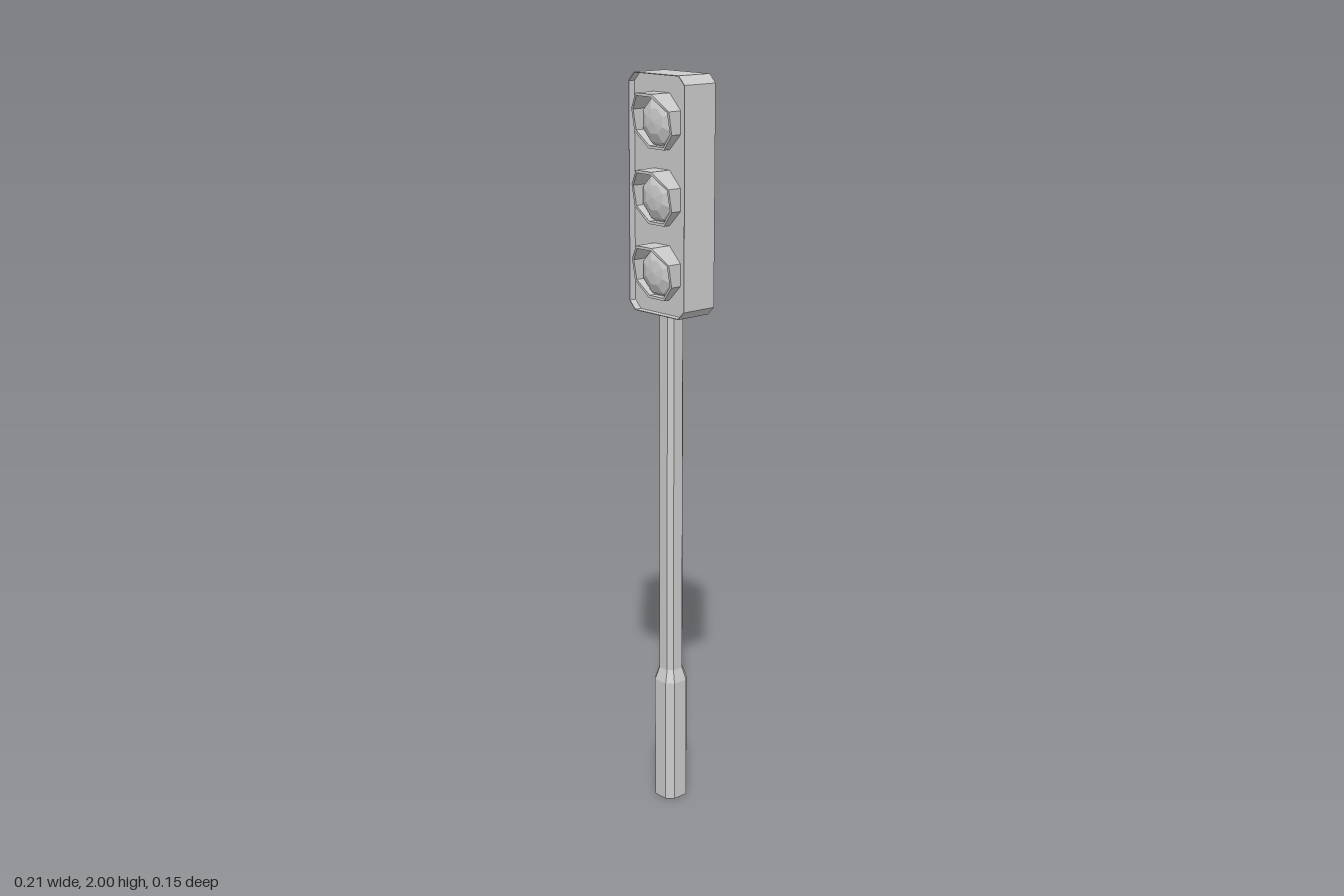
import * as THREE from 'three';

const material = new THREE.MeshStandardMaterial({ color: 0xcccccc, flatShading: true });

// Skin a stack of counter-clockwise rings that advance along +z, with optional end caps
function loft(rings, capped) {
  const pos = [];
  const n = rings[0].length;
  const tri = (a, b, c) => pos.push(...a, ...b, ...c);
  for (let k = 0; k < rings.length - 1; k++) {
    for (let i = 0; i < n; i++) {
      const j = (i + 1) % n;
      tri(rings[k][i], rings[k][j], rings[k + 1][j]);
      tri(rings[k][i], rings[k + 1][j], rings[k + 1][i]);
    }
  }
  if (capped) {
    const first = rings[0], last = rings[rings.length - 1];
    for (let i = 1; i < n - 1; i++) {
      tri(first[0], first[i + 1], first[i]);
      tri(last[0], last[i], last[i + 1]);
    }
  }
  const geometry = new THREE.BufferGeometry();
  geometry.setAttribute('position', new THREE.Float32BufferAttribute(pos, 3));
  geometry.computeVertexNormals();
  return geometry;
}

// Rectangle with chamfered corners, half sizes w and h, chamfer c
const chamferedRect = (w, h, c, z) => [
  [w, -h + c, z], [w, h - c, z], [w - c, h, z], [-w + c, h, z],
  [-w, h - c, z], [-w, -h + c, z], [-w + c, -h, z], [w - c, -h, z],
];

// Octagon with flat top and bottom; depth is a function of height
function octagon(apothem, depth) {
  const r = apothem / Math.cos(Math.PI / 8);
  return Array.from({ length: 8 }, (_, i) => {
    const a = Math.PI / 8 + (i * Math.PI) / 4;
    const y = r * Math.sin(a);
    return [r * Math.cos(a), y, depth(y)];
  });
}

function addMesh(parent, name, geometry, x = 0, y = 0, z = 0) {
  const mesh = new THREE.Mesh(geometry, material);
  mesh.name = name;
  mesh.position.set(x, y, z);
  parent.add(mesh);
  return mesh;
}

export function createModel() {
  const model = new THREE.Group();
  model.name = 'trafficLight';

  // Pole: wide foot, short taper, slim shaft
  const section = (r, y) => chamferedRect(r, r, r * 0.44, y);
  const pole = loft([section(0.039, 0), section(0.039, 0.35), section(0.028, 0.385), section(0.028, 1.39)], true);
  pole.rotateX(-Math.PI / 2);
  addMesh(model, 'pole', pole, 0, 0, -0.022);

  // Housing with a thin rim around a recessed front panel
  const housing = loft([
    chamferedRect(0.106, 0.3075, 0.022, -0.075),
    chamferedRect(0.106, 0.3075, 0.022, 0.03),
    chamferedRect(0.104, 0.3055, 0.0215, 0.03),
    chamferedRect(0.104, 0.3055, 0.0215, 0.011),
  ], true);
  addMesh(model, 'housing', housing, 0, 1.6925);

  // Hood depth: deepest on top, fading out towards the bottom
  const hoodDepth = (y) => (y > 0.05 ? 0.073 : y > 0 ? 0.051 : y > -0.05 ? 0.041 : 0.03);
  const base = () => 0.011;
  const hood = loft([octagon(0.071, base), octagon(0.071, hoodDepth), octagon(0.064, hoodDepth), octagon(0.064, base)], false);

  // Faceted domed lens
  const lens = new THREE.SphereGeometry(0.068, 8, 3, Math.PI / 8, Math.PI * 2, 0, Math.PI / 2);
  lens.scale(1, 0.45, 1);
  lens.rotateX(Math.PI / 2);

  ['bottom', 'middle', 'top'].forEach((place, i) => {
    const lamp = new THREE.Group();
    lamp.name = place + 'Lamp';
    lamp.position.y = 1.497 + i * 0.193;
    addMesh(lamp, 'hood', hood);
    addMesh(lamp, 'lens', lens, 0, 0, 0.011);
    model.add(lamp);
  });

  return model;
}
